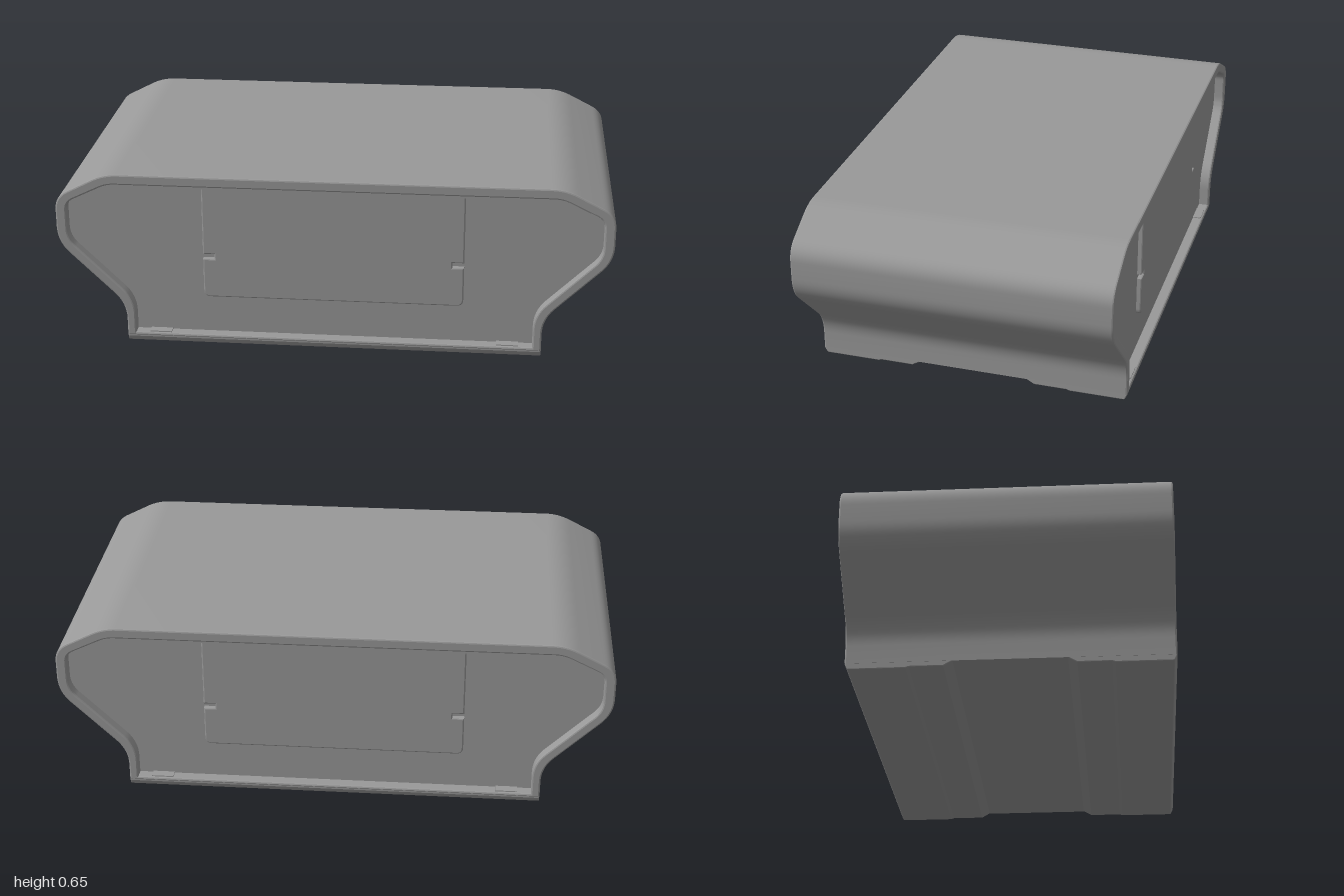
import * as THREE from 'three';
import { toCreasedNormals } from 'three/addons/utils/BufferGeometryUtils.js';

const material = new THREE.MeshStandardMaterial({ color: 0x999999 });

// Closed outline with rounded corners; each corner is [x, y, radius]
function roundedOutline(corners, Type = THREE.Shape) {
  const outline = new Type();
  const n = corners.length;
  const toward = (a, b, d) => {
    const from = new THREE.Vector2(a[0], a[1]);
    const dir = new THREE.Vector2(b[0], b[1]).sub(from).normalize();
    return from.addScaledVector(dir, d);
  };
  corners.forEach((c, i) => {
    const r = c[2] || 0;
    const start = toward(c, corners[(i + n - 1) % n], r);
    if (i === 0) outline.moveTo(start.x, start.y);
    else outline.lineTo(start.x, start.y);
    if (r > 0) {
      const end = toward(c, corners[(i + 1) % n], r);
      outline.quadraticCurveTo(c[0], c[1], end.x, end.y);
    }
  });
  outline.closePath();
  return outline;
}

// Right half of a profile, bottom to top, completed by its mirror image
const symmetric = (half) => [...half, ...half.map(([x, y, r]) => [-x, y, r]).reverse()];

// Extrusion along z, centred on z = 0, with the bevel kept inside the outline
function extrude(shape, depth, bevel) {
  const geometry = new THREE.ExtrudeGeometry(shape, {
    depth: depth - 2 * bevel, bevelEnabled: bevel > 0, bevelSize: bevel,
    bevelThickness: bevel, bevelOffset: -bevel, bevelSegments: 2, curveSegments: 8,
  });
  geometry.translate(0, 0, bevel - depth / 2);
  return toCreasedNormals(geometry, 0.3);
}

function add(parent, name, geometry, x = 0, y = 0, z = 0) {
  const mesh = new THREE.Mesh(geometry, material);
  mesh.name = name;
  mesh.position.set(x, y, z);
  parent.add(mesh);
  return mesh;
}

export function createModel() {
  const model = new THREE.Group();
  model.name = 'enclosure';

  const outer = symmetric([
    [0.757, 0.022, 0], [0.757, 0.148, 0.06], [1.0, 0.385, 0.06],
    [1.0, 0.56, 0.05], [0.82, 0.652, 0.05],
  ]);
  const inner = symmetric([
    [0.725, 0.036, 0], [0.725, 0.166, 0.06], [0.961, 0.397, 0.04],
    [0.961, 0.54, 0.03], [0.81, 0.613, 0.03],
  ]);

  // Sleeve open at both ends
  const sleeve = roundedOutline(outer);
  sleeve.holes.push(roundedOutline(inner, THREE.Path));
  add(model, 'sleeve', extrude(sleeve, 1.144, 0.006));

  // Two wide feet, leaving a shallow channel across the underside
  const footProfile = roundedOutline([
    [0.195, 0.024], [0.23, 0.004], [0.35, 0.004], [0.36, 0], [0.562, 0, 0.006],
    [0.571, 0.02], [0.571, 0.031], [0.195, 0.031],
  ]);
  const foot = extrude(footProfile, 1.512, 0.003);
  foot.rotateY(-Math.PI / 2);

  // Door with a small latch notch in each side
  const door = roundedOutline(symmetric([
    [0.472, 0.18, 0.025], [0.472, 0.33], [0.43, 0.33],
    [0.43, 0.348], [0.472, 0.348], [0.472, 0.605],
  ]));
  const doorGeometry = extrude(door, 0.03, 0.005);
  const lipGeometry = new THREE.BoxGeometry(0.944, 0.016, 0.045);
  const panelGeometry = extrude(roundedOutline(inner), 0.03, 0);
  const tabGeometry = new THREE.BoxGeometry(0.08, 0.014, 0.036);

  // Front and back ends are alike
  for (const [name, turn] of [['front', 0], ['back', Math.PI]]) {
    const end = new THREE.Group();
    end.name = name + 'End';
    end.rotation.y = turn;
    add(end, 'endPanel', panelGeometry, 0, 0, 0.517);
    add(end, 'door', doorGeometry, 0, 0, 0.535);
    add(end, 'doorLip', lipGeometry, 0, 0.611, 0.538);
    for (const x of [-0.635, 0.635]) add(end, 'clipTab', tabGeometry, x, 0.033, 0.546);
    add(end, 'foot', foot);
    model.add(end);
  }
  return model;
}
